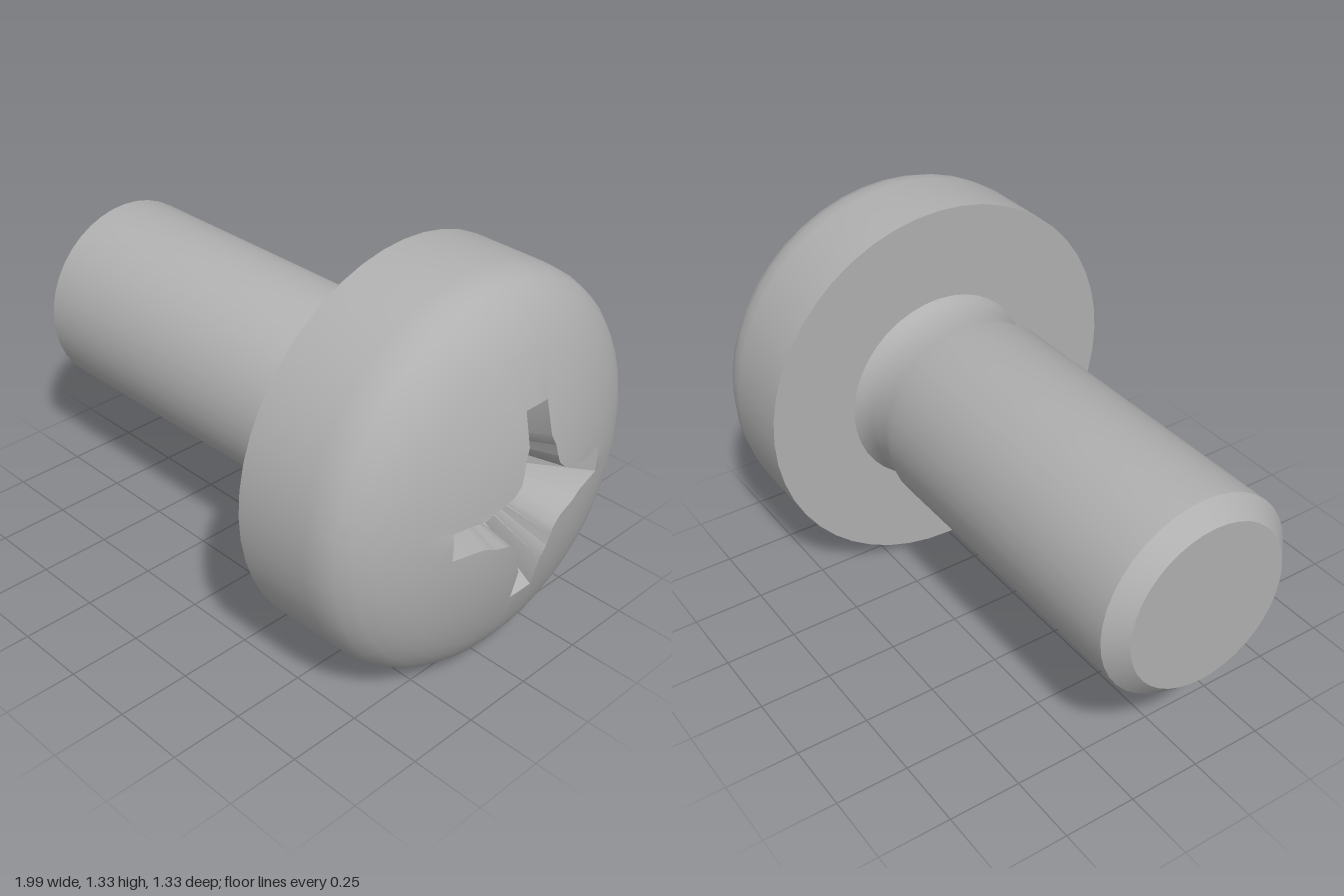
import * as THREE from 'three';
import { toCreasedNormals } from 'three/addons/utils/BufferGeometryUtils.js';

const HEAD_R = 0.665;

// Skins a list of closed loops (ordered from the recess centre, over the dome, to the underside)
function skin(loops) {
  const n = loops[0].length;
  const index = [];
  for (let j = 0; j < loops.length - 1; j++) {
    for (let i = 0; i < n; i++) {
      const k = (i + 1) % n;
      const a = j * n + i, b = (j + 1) * n + i, c = (j + 1) * n + k, d = j * n + k;
      index.push(a, b, c, a, c, d);
    }
  }
  const geometry = new THREE.BufferGeometry();
  geometry.setAttribute('position', new THREE.Float32BufferAttribute(loops.flat(2), 3));
  geometry.setIndex(index);
  return geometry;
}

// Repeats half an arm of the cross, mirrored, around the four quadrants
function crossOutline(half) {
  const pts = [];
  for (let q = 0; q < 4; q++) {
    const c = Math.round(Math.cos(q * Math.PI / 2)), s = Math.round(Math.sin(q * Math.PI / 2));
    for (let i = 0; i < 12; i++) {
      const [u, v] = i <= 6 ? half[i] : [half[12 - i][1], half[12 - i][0]];
      pts.push([u * c - v * s, u * s + v * c]);
    }
  }
  return pts;
}

function createHead(material) {
  const domeX = (r) => 1 - (1.25 - Math.sqrt(1.25 * 1.25 - r * r));

  // Cross recess: opening on the dome and small octagonal floor
  const opening = crossOutline([[0.33, 0], [0.33, 0.047], [0.22, 0.05], [0.18, 0.068],
    [0.14, 0.078], [0.115, 0.086], [0.1, 0.1]]);
  const floor = crossOutline([[0.08, 0], [0.08, 0.035], [0.077, 0.039], [0.073, 0.044],
    [0.069, 0.049], [0.064, 0.054], [0.059, 0.059]]);
  const n = opening.length;
  const ring = (r) => opening.map((_, i) => {
    const t = i / n * Math.PI * 2;
    return [r * Math.cos(t), r * Math.sin(t)];
  });
  const flat = (pts, x) => pts.map(([y, z]) => [x, y, z]);

  const loops = [flat(ring(0), 0.62), flat(floor, 0.62)];

  // Dome from the recess opening outwards
  const outer = ring(0.5);
  for (let s = 0; s <= 5; s++) {
    loops.push(opening.map(([y, z], i) => {
      const py = y + (outer[i][0] - y) * s / 5;
      const pz = z + (outer[i][1] - z) * s / 5;
      return [domeX(Math.hypot(py, pz)), py, pz];
    }));
  }

  // Rounded shoulder, side wall and flat underside
  for (const [r, x] of [[0.55, 0.868], [0.6, 0.832], [0.637, 0.788], [0.655, 0.742],
    [0.662, 0.69], [HEAD_R, 0.428], [0.3, 0.428]]) {
    loops.push(flat(ring(r), x));
  }

  const mesh = new THREE.Mesh(toCreasedNormals(skin(loops), 0.5), material);
  mesh.name = 'head';
  return mesh;
}

function createShank(material) {
  // Chamfered tip, straight shank, undercut neck and flare into the head
  const profile = [[0, -1], [0.285, -1], [0.345, -0.94], [0.342, 0.21], [0.327, 0.26],
    [0.325, 0.35], [0.333, 0.4], [0.355, 0.435]].map(([r, y]) => new THREE.Vector2(r, y));
  const geometry = new THREE.LatheGeometry(profile, 40);
  geometry.rotateZ(-Math.PI / 2);
  const mesh = new THREE.Mesh(toCreasedNormals(geometry, 0.45), material);
  mesh.name = 'shank';
  mesh.position.set(0, -0.01, -0.01);
  return mesh;
}

export function createModel() {
  const steel = new THREE.MeshStandardMaterial({ color: 0xb0b0b0 });
  steel.name = 'steel grey';

  const screw = new THREE.Group();
  screw.name = 'screw';
  screw.position.y = HEAD_R;
  screw.add(createHead(steel), createShank(steel));

  const model = new THREE.Group();
  model.name = 'crossHeadScrew';
  model.add(screw);
  return model;
}
